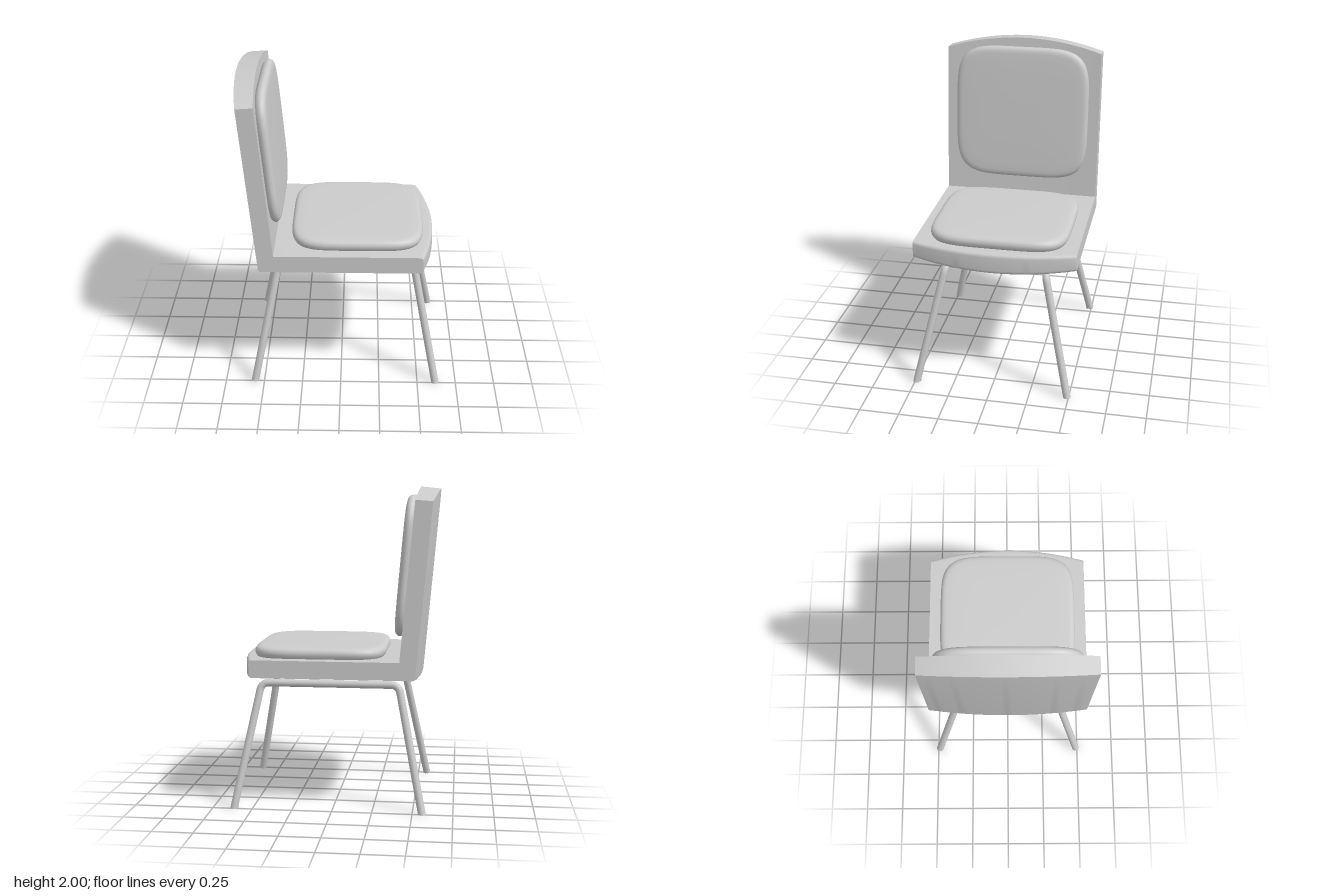
import * as THREE from 'three';
import { mergeVertices, toCreasedNormals } from 'three/addons/utils/BufferGeometryUtils.js';

const material = new THREE.MeshStandardMaterial({ color: 0xcccccc });
const doubleSided = new THREE.MeshStandardMaterial({ color: 0xcccccc, side: THREE.DoubleSide });
const HALF_WIDTH = 0.515;
const LEAN = 0.087; // backrest tilt in radians

// L-shaped shell corners, counter-clockwise: [side x, side y, middle x, middle y, corner radius]
const CORNERS = [
  [-0.51, 0.835, -0.54, 0.81, 0.02],
  [0.51, 0.835, 0.59, 0.81, 0.025],
  [0.51, 0.945, 0.588, 0.942, 0.025],
  [-0.415, 0.945, -0.415, 0.945, 0],
  [-0.502, 1.92, -0.52, 2.0, 0],
  [-0.608, 1.912, -0.645, 1.987, 0],
];

// Profile of the shell at a given z; its outer edges bow out toward the middle
function shellProfile(z) {
  const bow = 1 - (z / HALF_WIDTH) ** 2;
  const pts = CORNERS.map(([x0, y0, x1, y1]) =>
    new THREE.Vector2(x0 + (x1 - x0) * bow, y0 + (y1 - y0) * bow));
  const out = [];
  pts.forEach((p, i) => {
    const r = CORNERS[i][4];
    if (!r) { out.push(p); return; }
    const toward = (q) => q.clone().sub(p).setLength(r).add(p);
    const before = toward(pts[(i + pts.length - 1) % pts.length]);
    const after = toward(pts[(i + 1) % pts.length]);
    out.push(...new THREE.QuadraticBezierCurve(before, p, after).getPoints(5));
  });
  return out;
}

// Seat and backrest in one piece, lofted from side to side
function makeShell() {
  const steps = 28;
  const positions = [], index = [];
  const side = shellProfile(HALF_WIDTH);
  const n = side.length;
  for (let i = 0; i <= steps; i++) {
    const z = HALF_WIDTH * (2 * i / steps - 1);
    for (const p of shellProfile(z)) positions.push(p.x, p.y, z);
  }
  for (let i = 0; i < steps; i++) {
    for (let j = 0; j < n; j++) {
      const a = i * n + j, b = i * n + (j + 1) % n;
      index.push(a, b, b + n, a, b + n, a + n);
    }
  }
  // flat sides
  for (const [a, b, c] of THREE.ShapeUtils.triangulateShape(side, [])) {
    index.push(steps * n + a, steps * n + b, steps * n + c, c, b, a);
  }
  const geo = new THREE.BufferGeometry();
  geo.setAttribute('position', new THREE.Float32BufferAttribute(positions, 3));
  geo.setIndex(index);
  return toCreasedNormals(geo, 0.5);
}

// Softly crowned cushion with a rounded-square outline, lying flat on y = 0
function makeCushion(halfX, halfZ, height) {
  const profile = [
    [0, -0.15], [0.96, -0.15], [0.985, 0.1], [1, 0.3], [1, 0.5], [0.99, 0.66], [0.975, 0.78],
    [0.95, 0.87], [0.91, 0.92], [0.8, 0.95], [0.55, 0.98], [0.3, 0.995], [0, 1],
  ].map(([r, y]) => new THREE.Vector2(r, y * height));
  const geo = new THREE.LatheGeometry(profile, 80);
  const pos = geo.attributes.position;
  for (let i = 0; i < pos.count; i++) {
    const x = pos.getX(i), z = pos.getZ(i), r = Math.hypot(x, z);
    if (r < 1e-6) continue;
    const k = (Math.abs(x / r) ** 4.8 + Math.abs(z / r) ** 4.8) ** (-1 / 4.8);
    pos.setX(i, x * k * halfX);
    pos.setZ(i, z * k * halfZ);
  }
  geo.deleteAttribute('uv');
  geo.deleteAttribute('normal');
  const welded = mergeVertices(geo, 1e-5);
  welded.computeVertexNormals();
  return welded;
}

// One bent tube: rear leg, rail under the seat, front leg
function makeLegFrame(side) {
  const radius = 0.024;
  const v = (x, y, z) => new THREE.Vector3(x, y, z * side);
  const corners = [v(-0.56, 0, 0.49), v(-0.402, 0.773, 0.318), v(0.465, 0.773, 0.318), v(0.617, 0, 0.49)];
  const path = new THREE.CurvePath();
  let start = corners[0];
  for (let i = 1; i <= 2; i++) {
    const toward = (q) => q.clone().sub(corners[i]).setLength(0.05).add(corners[i]);
    const before = toward(corners[i - 1]), after = toward(corners[i + 1]);
    path.add(new THREE.LineCurve3(start, before));
    path.add(new THREE.QuadraticBezierCurve3(before, corners[i], after));
    start = after;
  }
  path.add(new THREE.LineCurve3(start, corners[3]));

  const tube = new THREE.TubeGeometry(path, 140, radius, 14, false);
  // cut the tube ends level with the floor
  const pos = tube.attributes.position;
  for (let i = 0; i < pos.count; i++) if (pos.getY(i) < 0.012) pos.setY(i, 0);

  const group = new THREE.Group();
  const legs = new THREE.Mesh(tube, doubleSided);
  legs.name = 'bentTube';
  group.add(legs);
  for (const foot of [corners[0], corners[3]]) {
    const cap = new THREE.Mesh(new THREE.CircleGeometry(radius, 14).rotateX(Math.PI / 2), material);
    cap.position.copy(foot);
    cap.name = 'footCap';
    group.add(cap);
  }
  return group;
}

export function createModel() {
  const chair = new THREE.Group();
  chair.name = 'chair';
  const add = (object, name) => {
    object.name = name;
    chair.add(object);
    return object;
  };

  add(new THREE.Mesh(makeShell(), material), 'seatAndBackShell');

  const seatCushion = add(new THREE.Mesh(makeCushion(0.418, 0.442, 0.073), material), 'seatCushion');
  seatCushion.position.set(0.102, 0.944, 0);

  const backCushion = add(new THREE.Mesh(makeCushion(0.443, 0.445, 0.062), material), 'backCushion');
  backCushion.position.set(-0.464, 1.506, 0);
  backCushion.rotation.z = LEAN - Math.PI / 2;

  add(makeLegFrame(1), 'leftLegFrame');
  add(makeLegFrame(-1), 'rightLegFrame');
  return chair;
}
